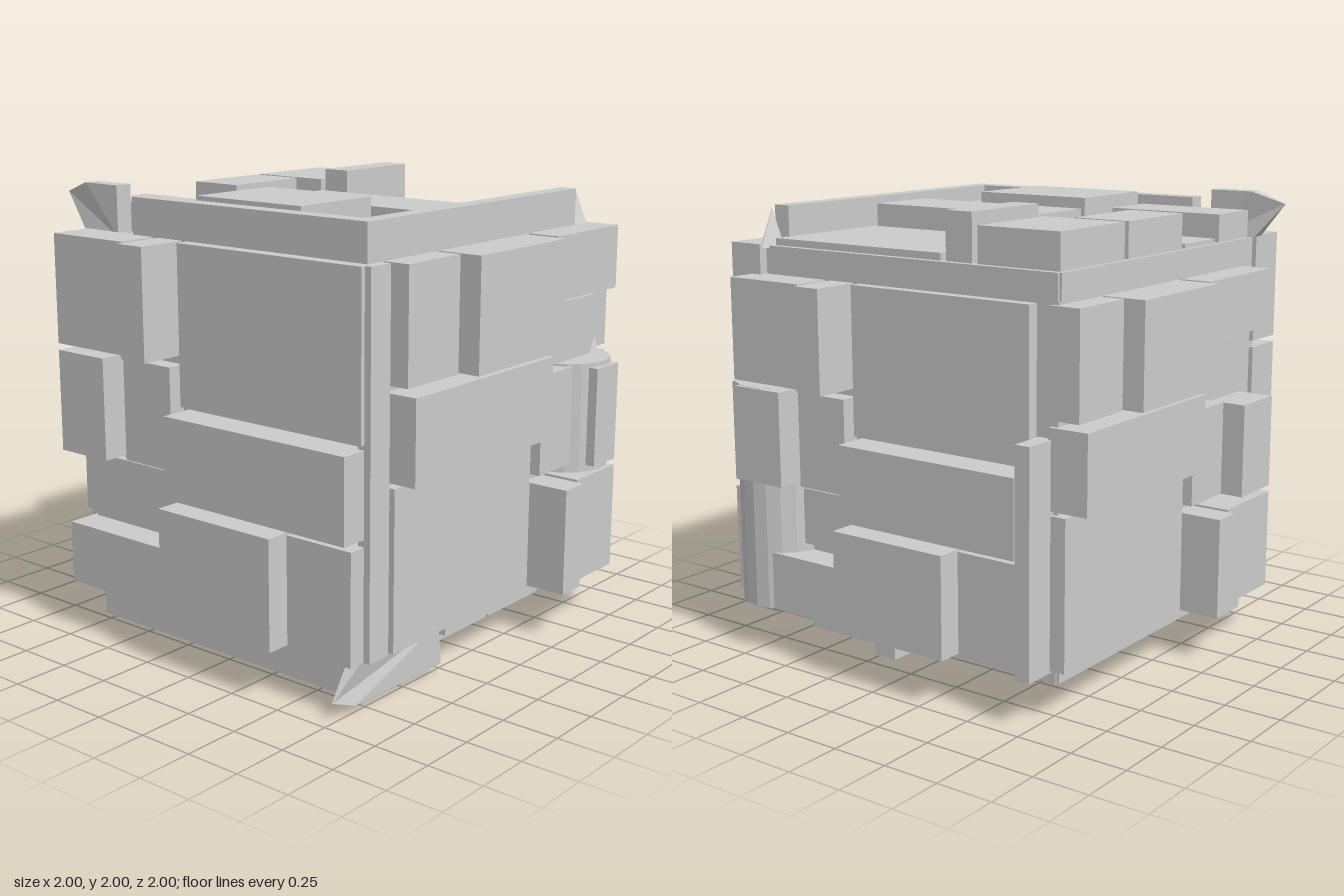
import * as THREE from 'three';

const material = new THREE.MeshStandardMaterial({ color: 0xcccccc, flatShading: true });

// Block pattern shared by all six faces: u0, u1, v0, v1, outward distance
const PATTERN = [
  [-0.80, -0.38, 1.32, 1.80, 0.95],
  [-0.35, -0.21, 1.32, 1.80, 1.00],
  [-0.80, -0.52, 0.84, 1.29, 0.95],
  [-0.49, -0.21, 0.83, 1.28, 0.86],
  [-0.80, -0.21, 0.54, 0.81, 0.82],
  [-0.80, -0.21, 0.22, 0.50, 0.92],
  [-0.18, 0.79, 1.11, 1.80, 0.83],
  [-0.18, 0.79, 0.73, 1.09, 0.93],
  [-0.18, 0.44, 0.22, 0.70, 0.975],
  [0.46, 0.79, 0.22, 0.70, 0.89],
];

// Each face maps pattern coordinates (u, v, d) to a point
const FACES = {
  front: (u, v, d) => [u, v, d],
  back: (u, v, d) => [0.80 - (u + 0.8) * 0.93, 0.21 + (v - 0.22) * 0.924, -d],
  right: (u, v, d) => [d, 2.02 - v, Math.max(u - 0.12, -0.82)],
  left: (u, v, d) => [-d, 0.21 + (1.80 - v) * 0.924, -0.80 + (0.79 - u) * 0.92],
  top: (u, v, d) => [-0.80 + (u + 0.8) * 0.925, 1 + d, -0.80 + (1.80 - v) * 0.925],
  bottom: (u, v, d) => [0.645 - (u + 0.8) * 0.825, 1 - d, -0.67 + (1.80 - v) * 0.825],
};

function add(parent, name, geometry) {
  const mesh = new THREE.Mesh(geometry, material);
  mesh.name = name;
  parent.add(mesh);
  return mesh;
}

// Box between two opposite corners, in any order
function block(parent, name, a, b) {
  const size = a.map((n, i) => Math.abs(n - b[i]));
  const mesh = add(parent, name, new THREE.BoxGeometry(...size));
  mesh.position.set(...a.map((n, i) => (n + b[i]) / 2));
  return mesh;
}

// Flat slab 0.08 thick whose end beyond `start` narrows to a point
function pointedSlab(parent, name, points, start, tip) {
  const shape = new THREE.Shape(points.map(([x, y]) => new THREE.Vector2(x, y)));
  const geometry = new THREE.ExtrudeGeometry(shape, { depth: 0.08, bevelEnabled: false });
  geometry.translate(0, 0, -0.04);
  const p = geometry.attributes.position;
  for (let i = 0; i < p.count; i++) {
    const t = THREE.MathUtils.clamp((p.getX(i) - start) / (tip - start), 0, 1);
    p.setZ(i, p.getZ(i) * (1 - 0.95 * t));
  }
  geometry.computeVertexNormals();
  return add(parent, name, geometry);
}

export function createModel() {
  const model = new THREE.Group();
  model.name = 'blockCube';
  block(model, 'core', [-0.78, 0.21, -0.78], [0.78, 1.79, 0.78]);

  // Raised blocks on every face
  for (const [face, map] of Object.entries(FACES)) {
    const group = new THREE.Group();
    group.name = face + 'Blocks';
    for (const [u0, u1, v0, v1, d] of PATTERN) {
      block(group, face + 'Block', map(u0, v0, 0.75), map(u1, v1, d));
    }
    model.add(group);
  }

  // Upper rim and the bands under it
  block(model, 'topFrontRim', [-0.50, 1.75, 0.69], [0.76, 1.96, 0.77]);
  block(model, 'topSideRim', [0.69, 1.75, -0.70], [0.77, 1.96, 0.77]);
  block(model, 'backBand', [-0.81, 1.69, -0.83], [0.68, 1.80, -0.75]);
  block(model, 'sideBand', [-0.82, 1.69, -0.82], [-0.75, 1.80, 0.67]);

  // Lower rim
  block(model, 'bottomFrontRim', [-0.76, 0.03, 0.69], [0.71, 0.25, 0.77]);
  block(model, 'bottomSideRim', [-0.77, 0.14, -0.75], [-0.69, 0.25, 0.70]);
  block(model, 'bottomBackRim', [-0.76, 0.14, -0.76], [0.72, 0.25, -0.69]);
  block(model, 'bottomSideRim', [0.69, 0.14, -0.75], [0.76, 0.25, 0.22]);

  // Upright corner strips
  block(model, 'cornerStrip', [0.76, 0.22, 0.69], [0.82, 1.80, 0.81]);
  block(model, 'cornerStrip', [-0.76, 0.20, -0.94], [-0.69, 1.15, -0.70]);

  // Rounded corner column with a tapered foot and small peak
  const column = add(model, 'cornerColumn', new THREE.CylinderGeometry(0.21, 0.21, 0.99, 20));
  column.position.set(0.72, 0.705, -0.73);
  const foot = add(model, 'columnFoot', new THREE.CylinderGeometry(0.21, 0.13, 0.04, 20));
  foot.position.set(0.72, 0.19, -0.73);
  const peak = add(model, 'columnPeak', new THREE.ConeGeometry(0.06, 0.15, 4));
  peak.position.set(0.80, 1.26, -0.82);

  // Pointed slabs at the rim ends
  const upper = pointedSlab(model, 'topPointedSlab',
    [[0.60, 1.78], [0.82, 1.80], [0.95, 1.95], [0.80, 2.0], [0.60, 2.0]], 0.78, 0.95);
  upper.rotation.y = Math.PI;
  upper.position.z = 0.725;
  const lower = pointedSlab(model, 'bottomPointedSlab',
    [[0.28, 0.22], [0.26, 0.03], [0.82, 0.03], [0.93, 0.07], [0.78, 0.22]], 0.76, 0.93);
  lower.rotation.y = -Math.PI / 2;
  lower.position.x = 0.73;
  const spike = add(model, 'rimSpike', new THREE.ConeGeometry(0.07, 0.17, 4));
  spike.position.set(0.73, 1.87, -0.76);

  return model;
}
